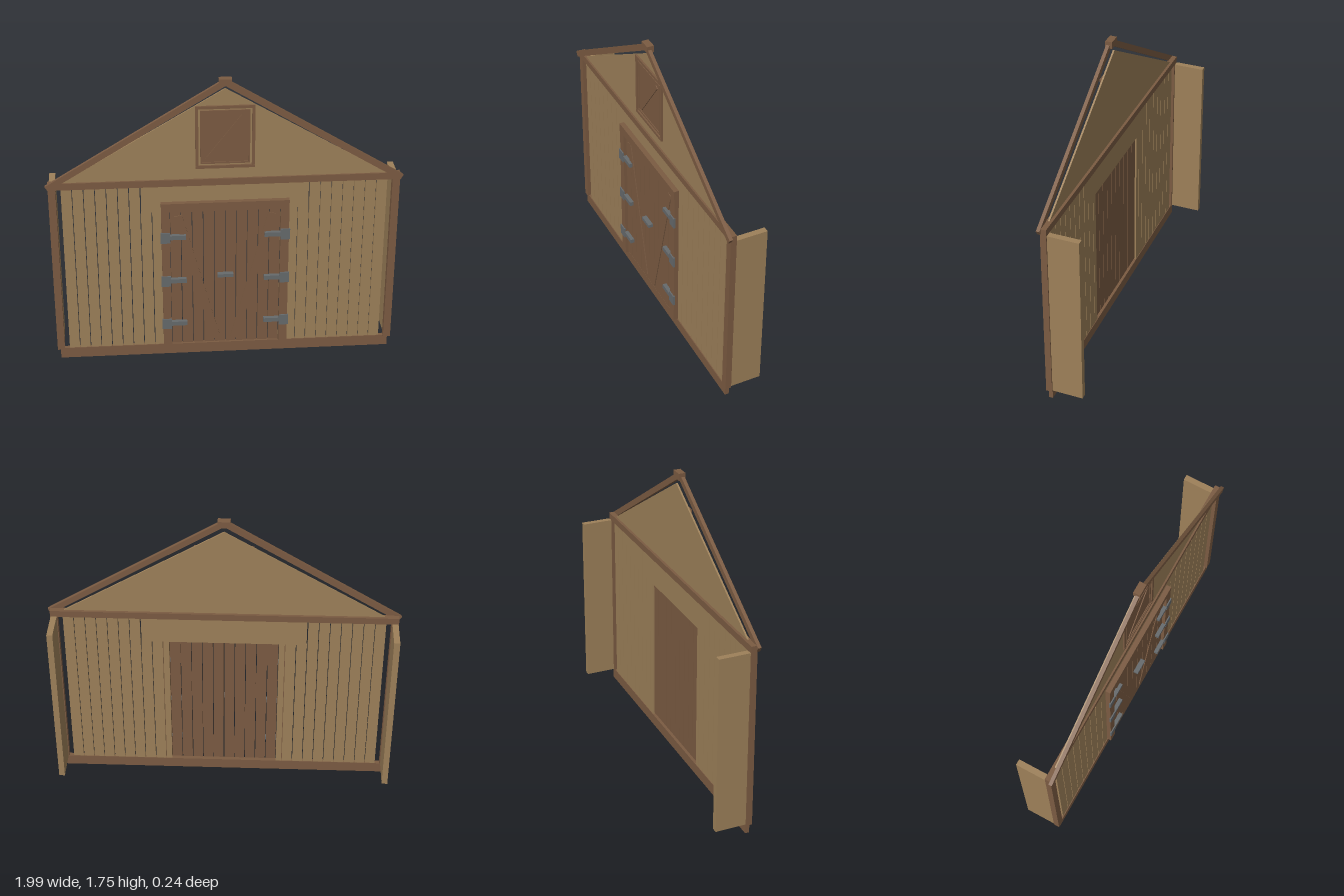
import * as THREE from 'three';

export function createModel() {
  const root = new THREE.Group();
  root.name = 'barnFront';

  const mat = (name, color) => {
    const m = new THREE.MeshStandardMaterial({ color });
    m.name = name;
    return m;
  };
  const tan = mat('tanWood', 0x9d8059);
  const brown = mat('brownWood', 0x7b5b42);
  const iron = mat('greyIron', 0x666a6c);

  // box given by its limits on each axis
  const box = (name, m, x0, x1, y0, y1, z0, z1) => {
    const mesh = new THREE.Mesh(new THREE.BoxGeometry(x1 - x0, y1 - y0, z1 - z0), m);
    mesh.position.set((x0 + x1) / 2, (y0 + y1) / 2, (z0 + z1) / 2);
    mesh.name = name;
    root.add(mesh);
    return mesh;
  };
  // the same box on both sides of x = 0
  const pair = (name, m, x0, x1, ...rest) => {
    box(name + 'Left', m, x0, x1, ...rest);
    box(name + 'Right', m, -x1, -x0, ...rest);
  };
  // straight bar between two points in the front plane
  const bar = (name, m, a, b, width, z0, z1) => {
    const dx = b[0] - a[0], dy = b[1] - a[1];
    const mesh = new THREE.Mesh(new THREE.BoxGeometry(Math.hypot(dx, dy), width, z1 - z0), m);
    mesh.position.set((a[0] + b[0]) / 2, (a[1] + b[1]) / 2, (z0 + z1) / 2);
    mesh.rotation.z = Math.atan2(dy, dx);
    mesh.name = name;
    root.add(mesh);
  };

  // timber frame and side wall stubs
  box('sill', brown, -0.963, 0.963, 0, 0.065, 0.064, 0.088);
  pair('cornerPost', brown, 0.938, 0.98, 0.06, 1.11, 0.06, 0.095);
  box('tieBeam', brown, -0.98, 0.98, 1.105, 1.145, 0.06, 0.095);
  pair('sideWall', tan, 0.943, 0.977, 0.068, 1.108, -0.12, 0.058);

  // wall planks with narrow gaps; the two nearest the doorway stop under the header
  const step = 0.0627, gap = 0.004;
  for (let i = 0; i < 10; i++) {
    const outer = 0.91 - i * step;
    const inner = Math.max(outer - step + gap, 0.313);
    pair('wallPlank' + i, tan, inner, outer, 0.06, i < 7 ? 1.11 : 0.943, 0.067, 0.083);
  }
  box('wallHeader', tan, -0.469, 0.469, 0.943, 1.11, 0.067, 0.083);

  // gable panel
  const tri = new THREE.Shape();
  tri.moveTo(-0.925, 1.13);
  tri.lineTo(0.925, 1.13);
  tri.lineTo(0, 1.68);
  tri.closePath();
  const gable = new THREE.Mesh(new THREE.ExtrudeGeometry(tri, { depth: 0.01, bevelEnabled: false }), tan);
  gable.position.z = 0.075;
  gable.name = 'gablePanel';
  root.add(gable);

  // rafters and ridge end
  for (const s of [-1, 1]) {
    bar(s > 0 ? 'rafterLeft' : 'rafterRight', brown, [s * 0.986, 1.122], [0, 1.725], 0.034, 0.09, 0.11);
  }
  box('ridgeBlock', brown, -0.035, 0.035, 1.705, 1.745, 0.075, 0.115);

  // loft hatch: frame, inner rim and brace
  pair('hatchFrameSide', brown, 0.147, 0.164, 1.21, 1.583, 0.08, 0.095);
  box('hatchFrameTop', brown, -0.164, 0.164, 1.566, 1.583, 0.08, 0.096);
  box('hatchFrameBottom', brown, -0.164, 0.164, 1.21, 1.227, 0.08, 0.096);
  box('hatchPanel', brown, -0.136, 0.136, 1.238, 1.555, 0.08, 0.088);
  pair('hatchRimSide', brown, 0.127, 0.137, 1.237, 1.556, 0.08, 0.092);
  box('hatchRimTop', brown, -0.137, 0.137, 1.546, 1.556, 0.08, 0.093);
  box('hatchRimBottom', brown, -0.137, 0.137, 1.237, 1.247, 0.08, 0.093);
  bar('hatchBrace', brown, [-0.1, 1.265], [0.1, 1.525], 0.02, 0.086, 0.093);

  // door frame
  pair('doorJamb', brown, 0.312, 0.36, 0.065, 0.955, 0.08, 0.11);
  box('doorHeader', brown, -0.36, 0.36, 0.952, 1.005, 0.08, 0.112);

  // double doors: five planks and a steep brace on each leaf
  const plank = 0.0622;
  for (let i = 0; i < 5; i++) {
    pair('doorPlank' + i, brown, i * plank + gap / 2, (i + 1) * plank - gap / 2, 0.075, 0.945, 0.075, 0.092);
  }
  for (const s of [-1, 1]) {
    bar(s > 0 ? 'doorBraceLeft' : 'doorBraceRight', brown, [s * 0.265, 0.92], [s * 0.05, 0.1], 0.045, 0.09, 0.097);
  }

  // strap hinges and latch
  for (const y of [0.79, 0.507, 0.22]) {
    pair('hingePlate', iron, 0.312, 0.366, y - 0.033, y + 0.033, 0.106, 0.117);
    pair('hingeStrap', iron, 0.222, 0.315, y - 0.013, y + 0.013, 0.092, 0.115);
  }
  box('latch', iron, -0.045, 0.045, 0.525, 0.545, 0.092, 0.12);

  return root;
}
